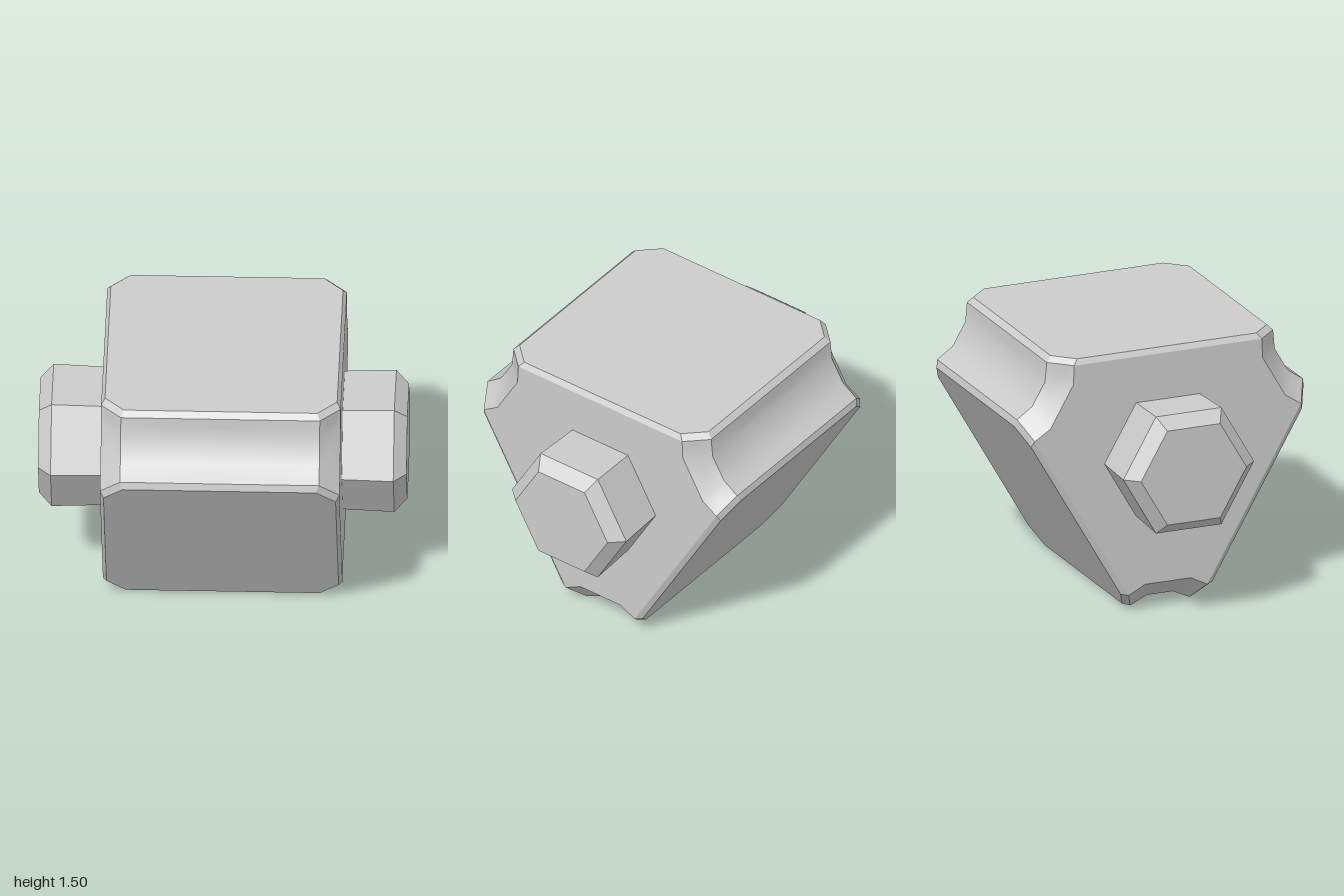
import * as THREE from 'three';
import { toCreasedNormals } from 'three/addons/utils/BufferGeometryUtils.js';

const CENTRE = new THREE.Vector3(0, 0.88, 0);

// Point on the three-sided body: t runs along face k, n is the distance from the axis.
function point(k, t, n, x) {
  const a = (k * 2 * Math.PI) / 3;
  return new THREE.Vector3(x, n * Math.cos(a) - t * Math.sin(a), n * Math.sin(a) + t * Math.cos(a));
}

function bodyGeometry() {
  const positions = [];
  // Fan a polygon about its middle, every triangle facing away from the axis centre.
  const polygon = (pts) => {
    const mid = pts.reduce((s, p) => s.add(p), new THREE.Vector3()).divideScalar(pts.length);
    pts.forEach((p, i) => {
      const q = pts[(i + 1) % pts.length];
      const normal = p.clone().sub(mid).cross(q.clone().sub(mid));
      const tri = normal.dot(mid) > 0 ? [mid, p, q] : [mid, q, p];
      tri.forEach((v) => positions.push(v.x, v.y, v.z));
    });
  };
  const octagon = (k, n, t1, x1, t2, x2) =>
    [[t1, x1], [t2, x2], [-t2, x2], [-t1, x1], [-t1, -x1], [-t2, -x2], [t2, -x2], [t1, -x1]]
      .map(([t, x]) => point(k, t, n, x));
  // Groove section between face k and the next one, from lip to lip.
  const groove = (k, lip, floor, x) => [
    point(k, lip, 0.59, x), point(k, floor, 0.48, x),
    point(k + 1, -floor, 0.48, x), point(k + 1, -lip, 0.59, x),
  ];

  const caps = { '1': [], '-1': [] };
  for (let k = 0; k < 3; k++) {
    // Clipped square face and its narrow bevel
    const face = octagon(k, 0.62, 0.64, 0.525, 0.53, 0.63);
    const rim = octagon(k, 0.59, 0.67, 0.54, 0.555, 0.65);
    polygon(face);
    face.forEach((p, i) => {
      const j = (i + 1) % 8;
      polygon([p, face[j], rim[j], rim[i]]);
    });
    // Hollow channel along the corner
    const a = groove(k, 0.67, 0.68, -0.54), b = groove(k, 0.67, 0.68, 0.54);
    for (let i = 0; i < 3; i++) polygon([a[i], a[i + 1], b[i + 1], b[i]]);
    // Flared ends of the channel
    for (const s of [1, -1]) {
      const inner = s > 0 ? b : a;
      const outer = groove(k, 0.555, 0.56, s * 0.65);
      for (let i = 0; i < 3; i++) polygon([inner[i], inner[i + 1], outer[i + 1], outer[i]]);
      caps[s].push(...outer);
    }
  }
  // Flat end walls
  polygon(caps['1']);
  polygon(caps['-1']);

  const geometry = new THREE.BufferGeometry();
  geometry.setAttribute('position', new THREE.Float32BufferAttribute(positions, 3));
  return toCreasedNormals(geometry, 0.52);
}

export function createModel() {
  const group = new THREE.Group();

  const body = new THREE.Mesh(bodyGeometry(), new THREE.MeshStandardMaterial({ color: 0xcccccc }));
  body.name = 'body';
  body.position.copy(CENTRE);
  group.add(body);

  // Six-sided pegs, slightly flared and chamfered at the tip
  const profile = [[0.376, 0.64], [0.387, 0.93], [0.312, 1], [0, 1]].map(([r, y]) => new THREE.Vector2(r, y));
  const pegGeometry = new THREE.LatheGeometry(profile, 6);
  const pegMaterial = new THREE.MeshStandardMaterial({ color: 0xcccccc, flatShading: true });
  for (const s of [1, -1]) {
    const peg = new THREE.Mesh(pegGeometry, pegMaterial);
    peg.name = s > 0 ? 'leftPeg' : 'rightPeg';
    peg.rotation.z = (-s * Math.PI) / 2;
    peg.position.copy(CENTRE);
    group.add(peg);
  }
  return group;
}
